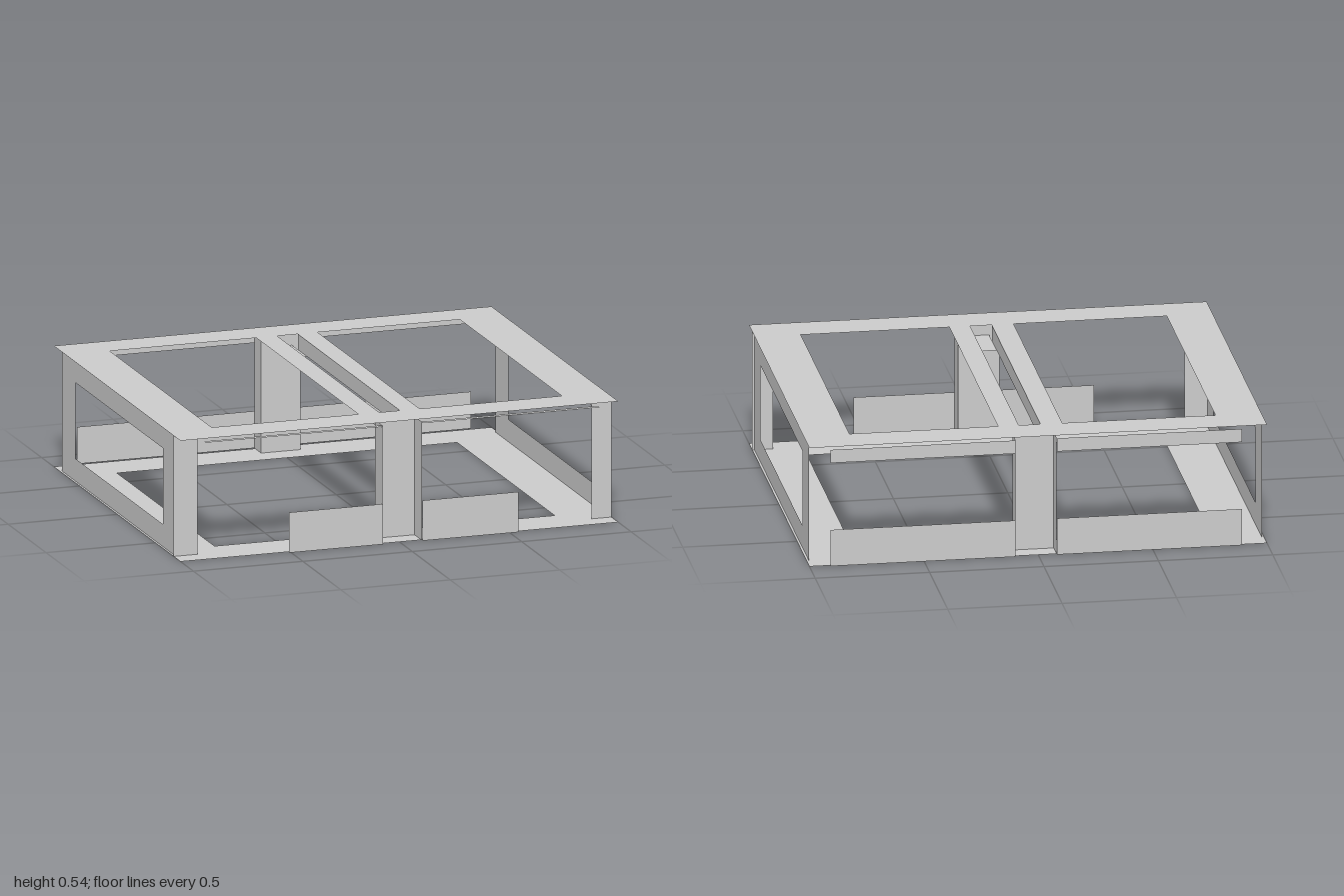
import * as THREE from 'three';

const mat = new THREE.MeshStandardMaterial({ color: 0xcccccc, side: THREE.DoubleSide, flatShading: true });

// flat sheet a0..a1 by b0..b1 with rectangular holes
function sheet(a0, a1, b0, b1, holes = []) {
  const rect = (P, [p0, p1, q0, q1]) => {
    const r = new P();
    r.moveTo(p0, q0); r.lineTo(p1, q0); r.lineTo(p1, q1); r.lineTo(p0, q1); r.closePath();
    return r;
  };
  const s = rect(THREE.Shape, [a0, a1, b0, b1]);
  s.holes = holes.map(h => rect(THREE.Path, h));
  return new THREE.ShapeGeometry(s);
}

export function createModel() {
  const g = new THREE.Group();
  const add = (name, geo) => {
    const m = new THREE.Mesh(geo, mat);
    m.name = name;
    g.add(m);
  };
  // sheets facing up (x, z), forward (x, y) and sideways (z, y)
  const level = (name, y, x0, x1, z0, z1, holes) =>
    add(name, sheet(x0, x1, z0, z1, holes).rotateX(Math.PI / 2).translate(0, y, 0));
  const facing = (name, z, x0, x1, y0, y1) =>
    add(name, sheet(x0, x1, y0, y1).translate(0, 0, z));
  const side = (name, x, z0, z1, y0, y1, holes = []) =>
    add(name, sheet(-z1, -z0, y0, y1, holes.map(([a, b, c, d]) => [-b, -a, c, d]))
      .rotateY(Math.PI / 2).translate(x, 0, 0));

  const H = 0.54, L = -0.08, R = 0.1;
  const back = -0.84, front = 0.83, webBack = -0.76, webFront = 0.74;

  // top and bottom frames
  level('topFrame', H, -1, 1, back, front, [
    [-0.8, -0.13, -0.68, 0.665], [-0.035, 0.06, -0.68, 0.665], [0.15, 0.8, -0.68, 0.665]]);
  level('bottomFrame', 0, -1, 1, back, front, [[-0.777, 0.777, -0.65, 0.635]]);

  // side frames and front corner plates
  for (const s of [-1, 1]) {
    side('sideFrame', s * 0.99, webBack, webFront, 0, H, [[-0.585, 0.57, 0.1, 0.44]]);
    facing('cornerPlate', webFront, s < 0 ? -1 : 0.91, s < 0 ? -0.89 : 1, 0, H);
  }

  // centre posts: channels open outwards
  for (const [web, edge] of [[webFront, 0.84], [webBack, -0.845]]) {
    facing('centrePostWeb', web, L, R, 0, H - 0.005);
    for (const x of [L, R])
      side('centrePostFlange', x, Math.min(web, edge), Math.max(web, edge), 0, H - 0.01);
  }

  // centre beam channel with end plates
  for (const x of [-0.035, 0.06]) side('beamWeb', x, -0.68, 0.665, 0.47, H);
  level('beamEndPlate', 0.47, -0.035, 0.06, webBack, -0.56);
  level('beamEndPlate', 0.47, -0.035, 0.06, 0.53, webFront);

  // front half panels, front rails, and back panels
  facing('frontPanel', 0.845, -0.51, L, 0, 0.18);
  facing('frontPanel', 0.845, R, 0.54, 0, 0.18);
  for (const [x0, x1] of [[-0.89, L], [R, 0.91]]) {
    level('frontRail', 0.525, x0, x1, 0.82, 0.845);
    facing('backLowerPanel', -0.85, x0, x1, 0, 0.165);
    facing('backUpperPanel', -0.85, x0, x1, 0.47, 0.53);
  }
  return g;
}
